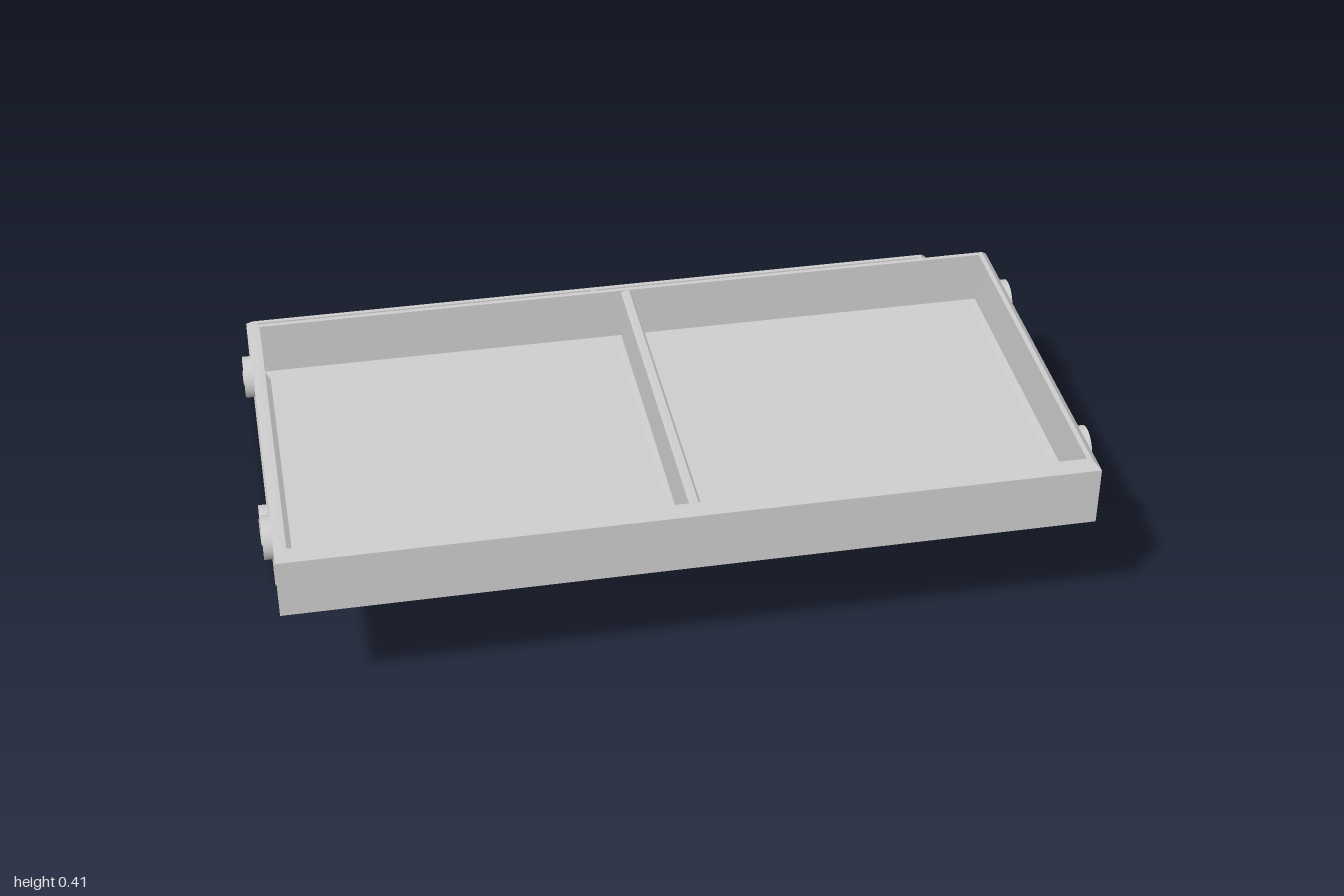
import * as THREE from 'three';

const HX = 0.791, HZ = 0.394, H = 0.138;   // tray half length, half width, height
const WALL = 0.024, BEVEL = 0.014, FLOOR = 0.014, FILLET = 0.012;
const STEP_Y = 0.277, STEP_Z = 0.432;      // shift from lower to upper tray

const grey = new THREE.MeshStandardMaterial({ color: 0xcccccc });
const flat = new THREE.MeshStandardMaterial({ color: 0xcccccc, flatShading: true });

function add(parent, name, geometry, material) {
  const mesh = new THREE.Mesh(geometry, material);
  mesh.name = name;
  parent.add(mesh);
  return mesh;
}

// Skin a series of rectangular loops, each given as [inset, y]; inset null = centre point
function rectLoops(profile) {
  const corners = [[1, 1], [1, -1], [-1, -1], [-1, 1]];
  const rings = profile.map(([inset, y]) => corners.map(([sx, sz]) =>
    inset === null ? [0, y, 0] : [sx * (HX - inset), y, sz * (HZ - inset)]));
  const pos = [];
  for (let i = 0; i + 1 < rings.length; i++) {
    for (let k = 0; k < 4; k++) {
      const n = (k + 1) % 4, a = rings[i], b = rings[i + 1];
      if (profile[i][0] !== null) pos.push(...a[k], ...a[n], ...b[n]);
      if (profile[i + 1][0] !== null) pos.push(...a[k], ...b[n], ...b[k]);
    }
  }
  const g = new THREE.BufferGeometry();
  g.setAttribute('position', new THREE.Float32BufferAttribute(pos, 3));
  g.computeVertexNormals();
  return g;
}

function makeTray(name) {
  const tray = new THREE.Group();
  tray.name = name;

  // Shell: underside, outer wall, bevelled rim, inner wall, fillet, floor
  add(tray, 'trayShell', rectLoops([
    [null, 0], [0, 0], [0, H - BEVEL], [BEVEL, H], [WALL, H],
    [WALL, FLOOR + FILLET], [WALL + FILLET, FLOOR], [null, FLOOR],
  ]), flat);

  // Divider across the middle, with a bevelled top and filleted foot
  const w = 0.011, top = H - 0.001;
  const half = [[w + FILLET, FLOOR - 0.002], [w + FILLET, FLOOR], [w, FLOOR + FILLET], [w, top - 0.005], [w - 0.005, top]];
  const outline = [...half, ...half.map(([x, y]) => [-x, y]).reverse()];
  const shape = new THREE.Shape(outline.map(([x, y]) => new THREE.Vector2(x, y)));
  const depth = 2 * (HZ - WALL) + 0.004;
  const g = new THREE.ExtrudeGeometry(shape, { depth, bevelEnabled: false });
  g.translate(0, 0, -depth / 2);
  add(tray, 'divider', g, flat);
  return tray;
}

// Slanted link with a round pivot cap at each end
function makeLink(side, zMid) {
  const link = new THREE.Group();
  link.name = side > 0 ? 'leftLink' : 'rightLink';
  const low = new THREE.Vector3(side * HX, 0.075, zMid - 0.198);
  const high = new THREE.Vector3(side * HX, 0.352, zMid + 0.198);

  for (const p of [low, high]) {
    const cap = add(link, 'pivotCap', new THREE.CylinderGeometry(0.042, 0.042, 0.018, 32), grey);
    cap.rotation.z = Math.PI / 2;
    cap.position.copy(p);
    cap.position.x += side * 0.009;
  }

  const dir = high.clone().sub(low);
  const bar = add(link, 'linkBar', new THREE.BoxGeometry(0.014, dir.length(), 0.026), flat);
  bar.position.copy(low).add(high).multiplyScalar(0.5);
  bar.position.x += side * 0.013;
  bar.rotation.x = Math.atan2(dir.z, dir.y);
  return link;
}

export function createModel() {
  const model = new THREE.Group();
  model.name = 'twoTierTray';
  const body = new THREE.Group();
  body.name = 'trayAssembly';
  body.rotation.y = 0.6575;
  model.add(body);

  // Lower and upper trays, stepped apart
  const lower = makeTray('lowerTray');
  lower.position.z = -STEP_Z / 2;
  const upper = makeTray('upperTray');
  upper.position.set(0, STEP_Y, STEP_Z / 2);
  body.add(lower, upper);

  // Two links on each short end
  for (const side of [-1, 1]) {
    for (const z of [-0.268, 0.268]) body.add(makeLink(side, z));
  }
  return model;
}
